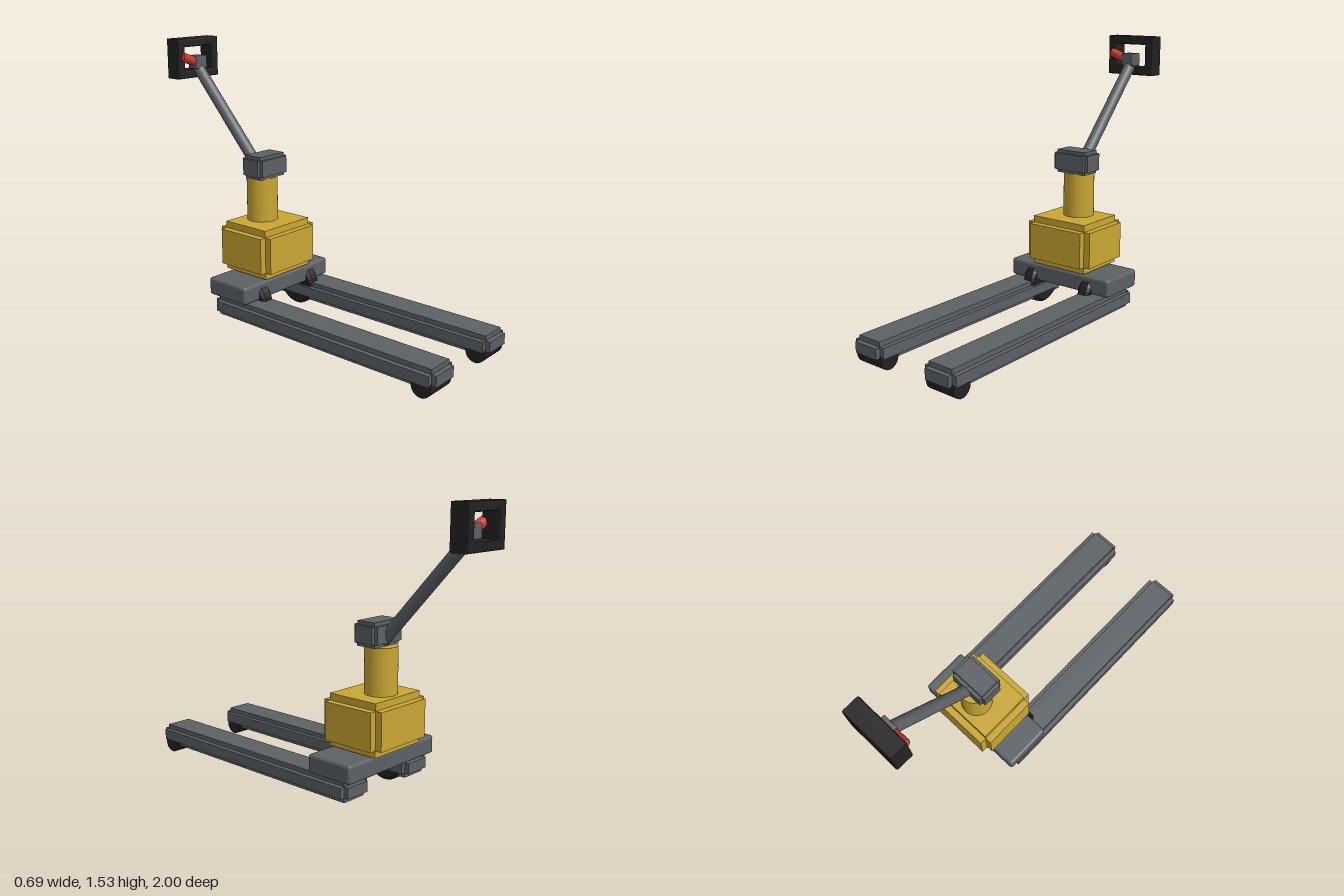
import * as THREE from 'three';
import { RoundedBoxGeometry } from 'three/addons/geometries/RoundedBoxGeometry.js';
import { mergeGeometries } from 'three/addons/utils/BufferGeometryUtils.js';

const material = (name, color) => {
  const m = new THREE.MeshStandardMaterial({ color });
  m.name = name;
  return m;
};

// Box with notched edges: three crossing boxes, each full size along one axis
function steppedBox(w, h, d, s) {
  return mergeGeometries([
    new THREE.BoxGeometry(w, h - 2 * s, d - 2 * s),
    new THREE.BoxGeometry(w - 2 * s, h, d - 2 * s),
    new THREE.BoxGeometry(w - 2 * s, h - 2 * s, d),
  ]);
}

export function createModel() {
  const group = new THREE.Group();
  const grey = material('steel grey', 0x5c6165);
  const yellow = material('yellow paint', 0xc9a632);
  const black = material('black rubber', 0x222222);
  const red = material('red lever', 0xc83a34);

  function add(name, geometry, mat, x = 0, y = 0, z = 0) {
    const mesh = new THREE.Mesh(geometry, mat);
    mesh.name = name;
    mesh.position.set(x, y, z);
    group.add(mesh);
    return mesh;
  }

  // Cylinder between two points
  function rod(name, from, to, radius, mat) {
    const a = new THREE.Vector3(...from), b = new THREE.Vector3(...to);
    const dir = b.clone().sub(a);
    const mesh = add(name, new THREE.CylinderGeometry(radius, radius, dir.length(), 24), mat);
    mesh.position.copy(a).add(b).multiplyScalar(0.5);
    mesh.quaternion.setFromUnitVectors(new THREE.Vector3(0, 1, 0), dir.normalize());
  }

  // Rear wheel profile with chamfered rims
  const r = 0.126, half = 0.038, c = 0.016;
  const wheelProfile = [[0, -half], [r - c, -half], [r, c - half], [r, half - c], [r - c, half], [0, half]]
    .map(([x, y]) => new THREE.Vector2(x, y));

  // Forks, load rollers and rear wheels
  for (const [side, s] of [['left', 1], ['right', -1]]) {
    add(side + 'Fork', steppedBox(0.2, 0.11, 1.46, 0.026), grey, s * 0.242, 0.1, 0.27);
    rod(side + 'Roller', [s * 0.155, 0.056, 0.925], [s * 0.33, 0.056, 0.925], 0.056, black);
    const wheel = new THREE.LatheGeometry(wheelProfile, 32).toNonIndexed();
    wheel.computeVertexNormals();
    add(side + 'RearWheel', wheel, black, s * 0.193, 0.128, -0.295).rotation.z = Math.PI / 2;
  }

  // Cross beam, pump housing and column
  add('crossBeam', new RoundedBoxGeometry(0.685, 0.1, 0.28, 3, 0.016), grey, 0, 0.205, -0.35);
  add('pumpHousing', steppedBox(0.43, 0.28, 0.38, 0.038), yellow, 0, 0.4, -0.362);
  add('column', new THREE.CylinderGeometry(0.087, 0.087, 0.29, 32), yellow, 0, 0.645, -0.4);
  add('columnHead', steppedBox(0.23, 0.13, 0.15, 0.019), grey, 0, 0.855, -0.377);

  // Tiller arm and grip hub
  rod('tillerArm', [0, 0.812, -0.41], [0, 1.355, -0.902], 0.033, grey);
  add('gripHub', new RoundedBoxGeometry(0.08, 0.075, 0.075, 2, 0.006), grey, 0, 1.392, -0.91);

  // Rectangular grip frame
  const b = 0.008;
  const rectangle = (path, x, y) => path.moveTo(-x, -y).lineTo(x, -y).lineTo(x, y).lineTo(-x, y).closePath();
  const frame = rectangle(new THREE.Shape(), 0.152 - b, 0.114 - b);
  frame.holes.push(rectangle(new THREE.Path(), 0.102 + b, 0.066 + b));
  add('gripFrame', new THREE.ExtrudeGeometry(frame, {
    depth: 0.1 - 2 * b, bevelEnabled: true, bevelThickness: b, bevelSize: b, bevelSegments: 2,
  }), black, 0, 1.416, -1 + b);

  // Release lever
  rod('releaseLever', [-0.125, 1.43, -0.903], [-0.02, 1.392, -0.903], 0.027, red);

  return group;
}
